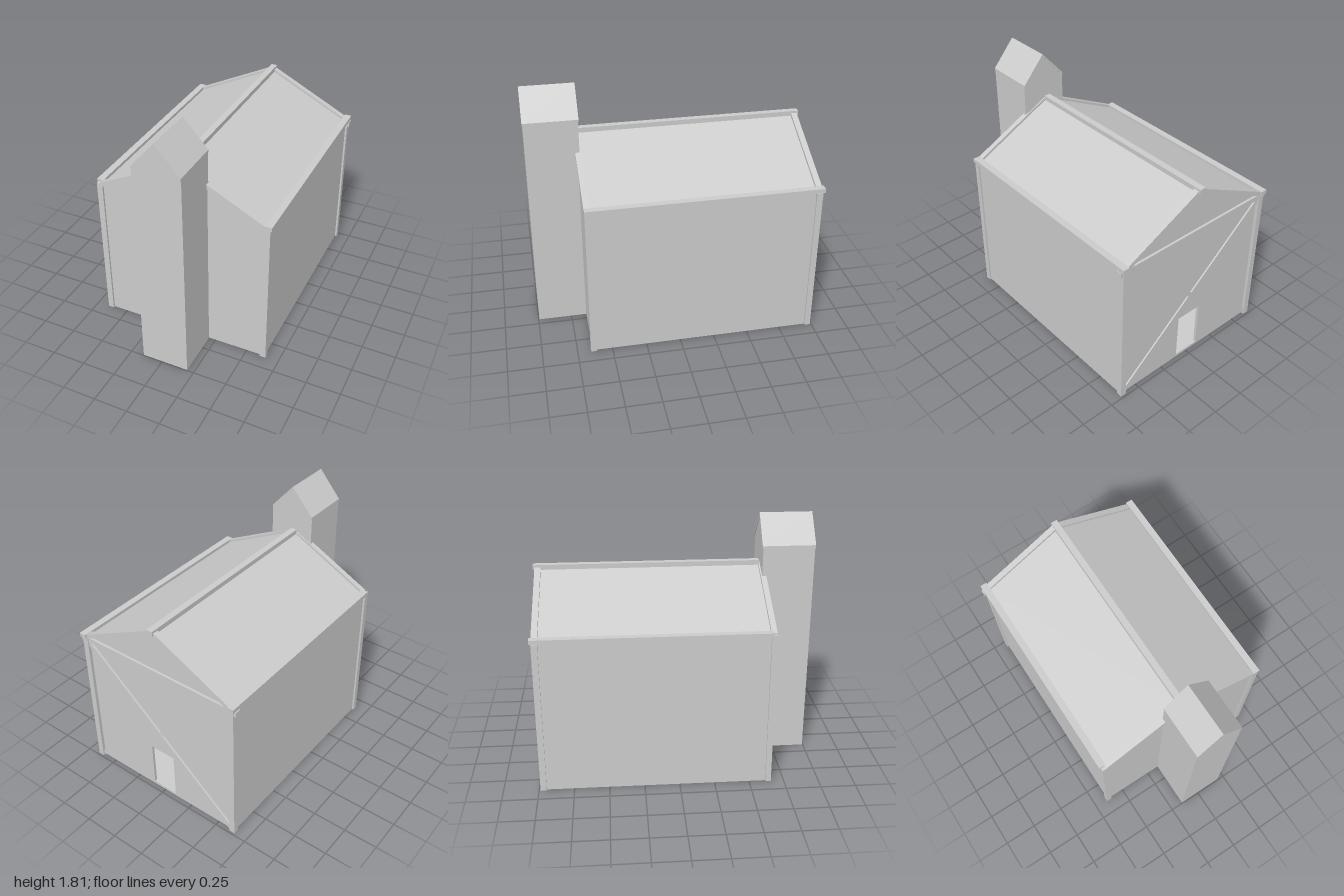
import * as THREE from 'three';

const mat = new THREE.MeshStandardMaterial({ color: 0xcccccc, flatShading: true });

export function createModel() {
  const model = new THREE.Group();
  model.name = 'barn';

  const add = (name, geometry) => {
    const mesh = new THREE.Mesh(geometry, mat);
    mesh.name = name;
    model.add(mesh);
    return mesh;
  };
  // box given by its limits on each axis
  const box = (name, x0, x1, y0, y1, z0, z1) => {
    const mesh = add(name, new THREE.BoxGeometry(x1 - x0, y1 - y0, z1 - z0));
    mesh.position.set((x0 + x1) / 2, (y0 + y1) / 2, (z0 + z1) / 2);
    return mesh;
  };
  // outline in x, y pushed from z0 to z1
  const prism = (name, points, z0, z1, hole) => {
    const shape = new THREE.Shape(points.map(p => new THREE.Vector2(...p)));
    if (hole) shape.holes.push(new THREE.Path(hole.map(p => new THREE.Vector2(...p))));
    const geo = new THREE.ExtrudeGeometry(shape, { depth: z1 - z0, bevelEnabled: false });
    return add(name, geo.translate(0, 0, z0));
  };
  // sloped band under a ridge: half width w, ridge top y, vertical thickness t
  const chevron = (name, cx, w, y, slope, t, z0, z1) => prism(name, [
    [cx - w, y - w * slope - t], [cx, y - t], [cx + w, y - w * slope - t],
    [cx + w, y - w * slope], [cx, y], [cx - w, y - w * slope],
  ], z0, z1);

  // hollow shell: floor, side walls, gables and roof
  const W = 0.64, front = 0.64, back = -0.965, T = 0.02;
  box('floor', -W, W, 0.005, 0.025, back, front);
  for (const s of [-1, 1])
    box('sideWall', s * W - (s > 0 ? T : 0), s * W + (s < 0 ? T : 0), 0.01, 1.13, back, front);
  const gable = [[-W, 0.01], [W, 0.01], [W, 1.115], [0, 1.435], [-W, 1.115]];
  prism('frontGable', gable, front - T, front);
  // the doorway reaches down to the floor
  const doorGable = [[-W, 0.01], [-0.1, 0.01], [-0.1, 0.38], [0.1, 0.38], [0.1, 0.01],
    ...gable.slice(1)];
  prism('backGable', doorGable, back, back + T);
  chevron('roof', 0, 0.63, 1.445, 0.5, 0.02, -0.975, 0.64);

  // corner posts, rafters, eave beams and ridge beam
  for (const [z0, z1] of [[0.615, 0.655], [-0.988, -0.945]]) {
    for (const s of [-1, 1])
      box('cornerPost', s * 0.632 - 0.022, s * 0.632 + 0.022, 0.005, 1.14, z0, z1);
    chevron('rafters', 0, 0.63, 1.465, 0.5, 0.035, z0, z1);
  }
  box('eaveBeam', -0.665, -0.615, 1.13, 1.16, -1, 0.63);
  box('eaveBeam', 0.615, 0.665, 1.13, 1.16, -1, 0.655);
  box('ridgeBeam', -0.025, 0.022, 1.435, 1.47, -1, 0.62);

  // tie beam and cross bracing on the back gable
  box('tieBeam', -0.673, 0.67, 1.09, 1.13, -0.982, -0.94);
  for (const s of [-1, 1]) {
    const len = Math.hypot(1.24, 1.07);
    const brace = add('crossBrace', new THREE.BoxGeometry(len, 0.035, 0.02));
    brace.position.set(0, 0.555, -0.968 - 0.002 * s);
    brace.rotation.z = s * Math.atan2(1.07, 1.24);
  }

  // tower with a thin roof rim standing proud of its gables
  const cx = 0.023, w = 0.175, eave = 1.61, peak = 1.81;
  prism('tower', [[cx - w, 0], [cx + w, 0], [cx + w, eave - 0.005], [cx, peak - 0.005],
    [cx - w, eave - 0.005]], 0.625, 0.995);
  chevron('towerRoof', cx, w, peak, (peak - eave) / w, 0.02, 0.62, 1);

  return model;
}
